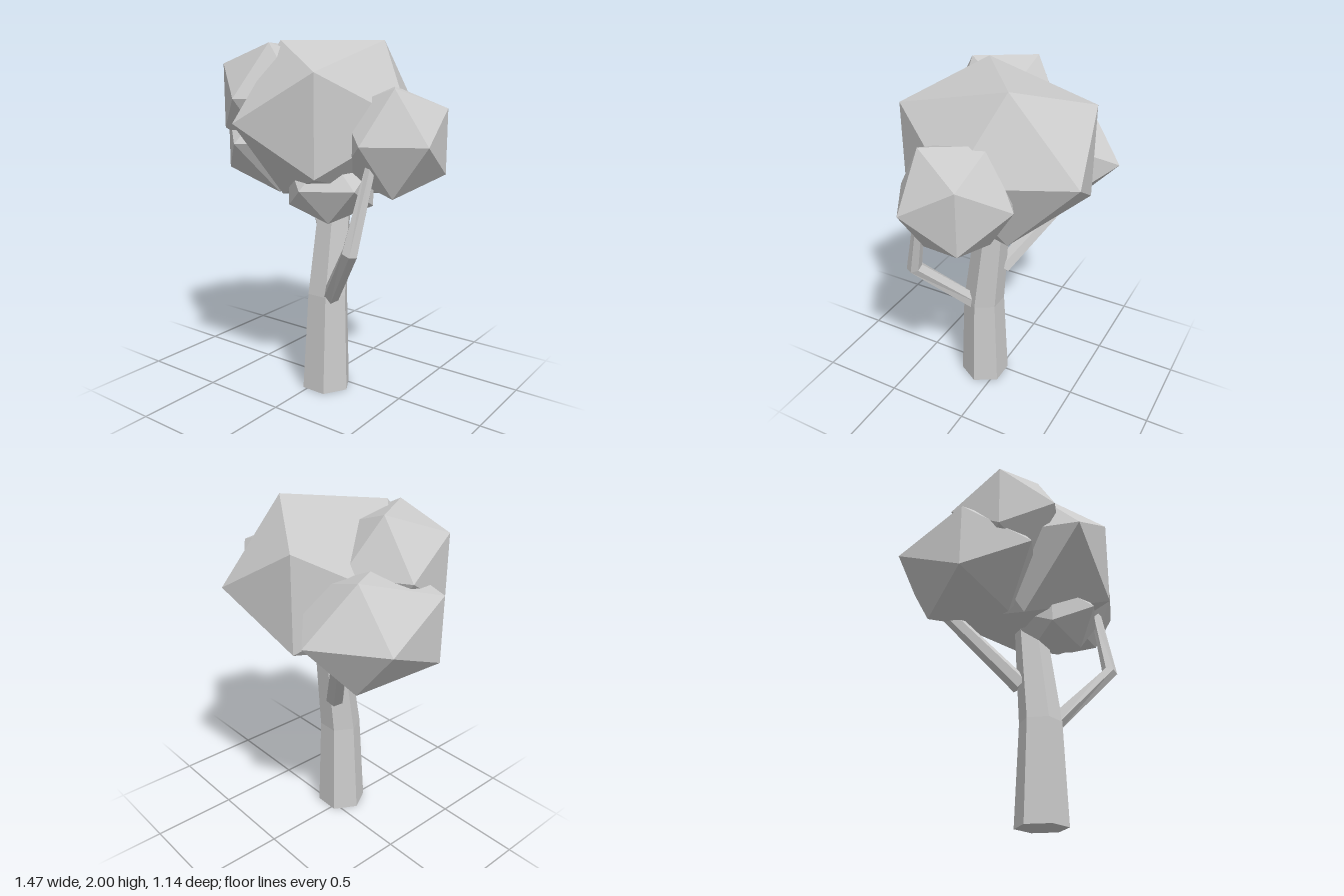
import * as THREE from 'three';

const material = new THREE.MeshStandardMaterial({ color: 0xcccccc, flatShading: true });

function addMesh(group, name, geometry) {
  const mesh = new THREE.Mesh(geometry, material);
  mesh.name = name;
  group.add(mesh);
}

// Foliage clump: an icosahedron with its poles on z (or on x when turned), stretched per axis
function clump(center, radii, turned = false) {
  const g = new THREE.IcosahedronGeometry(1, 0);
  g.rotateX(Math.atan(2 / (1 + Math.sqrt(5))));
  g.rotateZ(Math.PI / 2);
  if (turned) g.rotateY(Math.PI / 2);
  g.scale(...radii);
  g.translate(...center);
  g.computeVertexNormals();
  return g;
}

// Faceted limb through [x, y, z, radius] stations, closed at both ends
function limb(stations, level = false, sides = 6) {
  const centers = stations.map(([x, y, z]) => new THREE.Vector3(x, y, z));
  const last = centers.length - 1;
  const positions = [];
  const index = [];
  centers.forEach((c, i) => {
    const before = centers[Math.max(i - 1, 0)];
    const after = centers[Math.min(i + 1, last)];
    const along = level ? new THREE.Vector3(0, 1, 0)
      : c.clone().sub(before).normalize().add(after.clone().sub(c).normalize()).normalize();
    const v = new THREE.Vector3(1, 0, 0).cross(along).normalize();
    const u = along.clone().cross(v);
    for (let k = 0; k < sides; k++) {
      const a = (k / sides) * Math.PI * 2;
      const r = stations[i][3];
      const p = c.clone().addScaledVector(u, -r * Math.cos(a)).addScaledVector(v, -r * Math.sin(a));
      positions.push(p.x, p.y, p.z);
      if (i < last) {
        const p0 = i * sides + k;
        const p1 = i * sides + (k + 1) % sides;
        index.push(p0, p1, p1 + sides, p0, p1 + sides, p0 + sides);
      }
    }
  });
  // End caps
  const top = last * sides;
  for (let k = 1; k < sides - 1; k++) {
    index.push(0, k + 1, k, top, top + k, top + k + 1);
  }

  // Make sure the faces point outwards whichever way the ring runs
  const [a, b, d] = [index[0], index[1], index[2]].map((n) => new THREE.Vector3().fromArray(positions, n * 3));
  const normal = b.clone().sub(a).cross(d.clone().sub(a));
  if (normal.dot(a.clone().sub(centers[0]).add(b).sub(centers[0])) < 0) index.reverse();

  const g = new THREE.BufferGeometry();
  g.setAttribute('position', new THREE.Float32BufferAttribute(positions, 3));
  g.setIndex(index);
  const flat = g.toNonIndexed();
  flat.computeVertexNormals();
  return flat;
}

export function createModel() {
  const tree = new THREE.Group();
  tree.name = 'tree';

  // Trunk and two branches
  addMesh(tree, 'trunk', limb([
    [0.047, 0, 0.09, 0.148],
    [0.055, 0.58, 0.085, 0.122],
    [0.06, 1.3, 0.0, 0.09],
  ], true));
  addMesh(tree, 'leftBranch', limb([
    [0.1, 0.56, 0.125, 0.05],
    [0.39, 0.925, 0.345, 0.046],
    [0.44, 1.36, 0.24, 0.03],
  ]));
  addMesh(tree, 'rightBranch', limb([
    [-0.005, 0.81, -0.01, 0.056],
    [-0.35, 1.23, -0.29, 0.045],
  ]));

  // Foliage
  const foliage = new THREE.Group();
  foliage.name = 'foliage';
  tree.add(foliage);
  addMesh(foliage, 'mainFoliage', clump([0.025, 1.572, 0], [0.503, 0.503, 0.637], true));
  addMesh(foliage, 'leftFoliage', clump([0.44, 1.475, 0.02], [0.327, 0.33, 0.33]));
  addMesh(foliage, 'upperRightFoliage', clump([-0.29, 1.692, 0.125], [0.345, 0.345, 0.347]));
  addMesh(foliage, 'lowerRightFoliage', clump([-0.38, 1.435, -0.085], [0.397, 0.35, 0.464]));
  addMesh(foliage, 'lowerFrontFoliage', clump([0.125, 1.23, 0.15], [0.27, 0.223, 0.28]));
  return tree;
}
